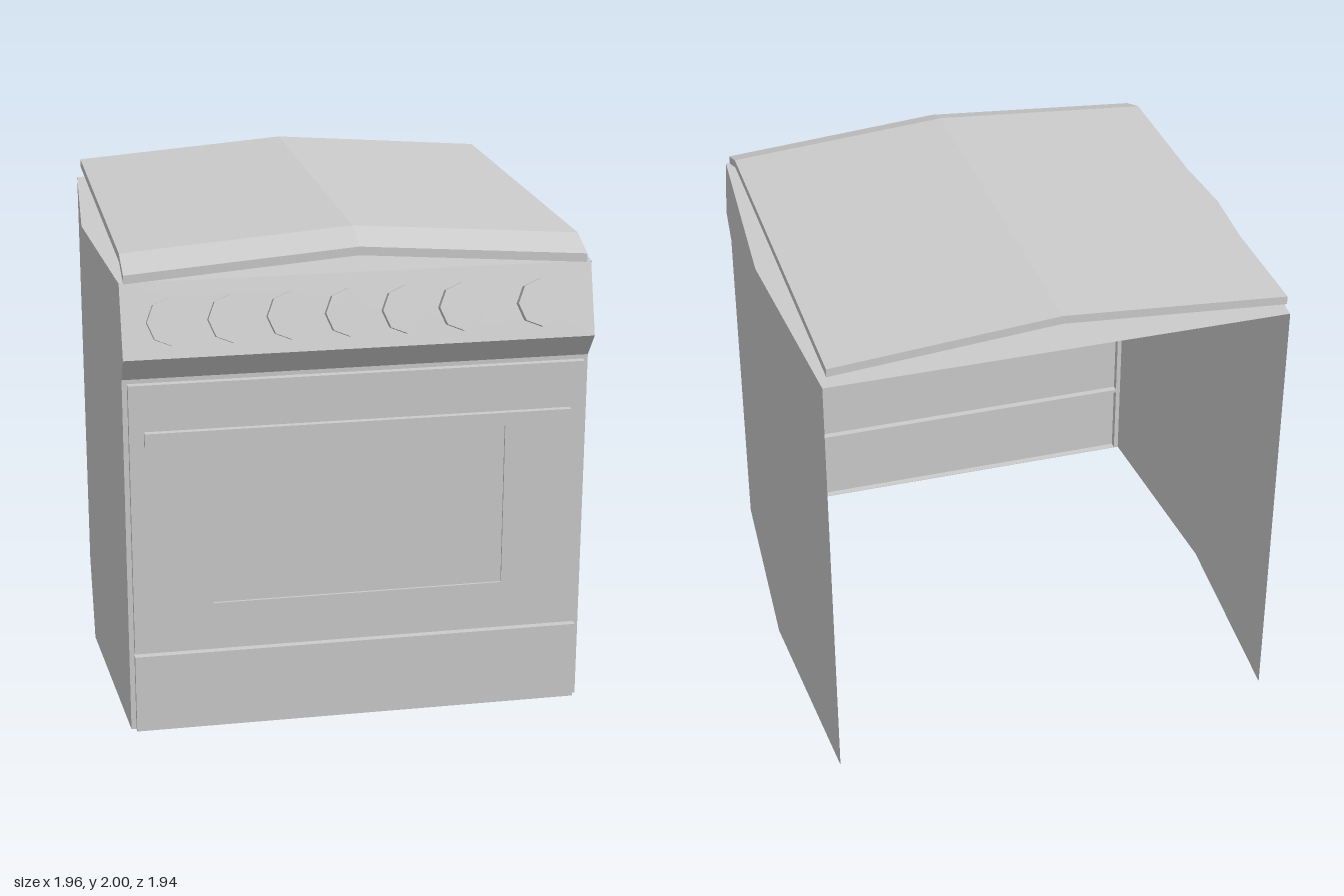
import * as THREE from 'three';

const material = new THREE.MeshStandardMaterial({ color: 0xcccccc, flatShading: true, side: THREE.DoubleSide });

function addMesh(parent, name, geometry) {
  const mesh = new THREE.Mesh(geometry, material);
  mesh.name = name;
  parent.add(mesh);
  return mesh;
}

// Faceted surface spanned between successive cross-sections of [x, y, z] points
function loft(sections) {
  const v = [];
  for (let i = 0; i < sections.length - 1; i++) {
    const a = sections[i], b = sections[i + 1];
    for (let j = 0; j < a.length - 1; j++) {
      v.push(...a[j], ...a[j + 1], ...b[j + 1], ...a[j], ...b[j + 1], ...b[j]);
    }
  }
  const g = new THREE.BufferGeometry();
  g.setAttribute('position', new THREE.Float32BufferAttribute(v, 3));
  g.computeVertexNormals();
  return g;
}

const rect = (w, y0, y1) => [[-w, y0], [w, y0], [w, y1], [-w, y1]];

function octagon(cx, cy, r) {
  return Array.from({ length: 8 }, (_, i) => {
    const a = i * Math.PI / 4;
    return [cx + r * Math.cos(a), cy + r * Math.sin(a)];
  });
}

const toVectors = pts => pts.map(([x, y]) => new THREE.Vector2(x, y));

// Flat sheet with openings
function sheet(outline, holes = []) {
  const shape = new THREE.Shape(toVectors(outline));
  for (const h of holes) shape.holes.push(new THREE.Path(toVectors(h)));
  return new THREE.ShapeGeometry(shape);
}

// Face pressed out of (or into) a sheet: rim walls plus a face, hollow behind
function pressed(parent, name, outline, z, depth, holes) {
  const group = new THREE.Group();
  group.name = name;
  const ring = d => [...outline, outline[0]].map(([x, y]) => [x, y, d]);
  addMesh(group, name + 'Rim', loft([ring(z), ring(z + depth)]));
  addMesh(group, name + 'Face', sheet(outline, holes)).position.z = z + depth;
  parent.add(group);
}

export function createModel() {
  const model = new THREE.Group();
  model.name = 'stove';

  const W = 0.922, BULGE = 0.982, MID = -0.05, BACK = -0.97, FRONT = 0.87, H = 1.85;
  const topZ = 0.865, lipY = 1.57, lipZ = 0.95, plateY = 1.47;

  // Bowed side walls, with the end cheeks of the control panel
  for (const s of [1, -1]) {
    const side = new THREE.Group();
    side.name = s > 0 ? 'leftSide' : 'rightSide';
    const column = (x, z) => [[s * x, 0, z], [s * x, H, z]];
    addMesh(side, 'sideWall', loft([column(W, BACK), column(BULGE, MID), column(W, FRONT)]));
    const cheek = addMesh(side, 'panelCheek', sheet([[-FRONT, plateY], [-lipZ, lipY], [-topZ, H]]));
    cheek.rotation.y = Math.PI / 2;
    cheek.position.x = s * W;
    model.add(side);
  }

  // Body top, six-sided to follow the bowed walls
  addMesh(model, 'bodyTop', loft([[BACK, W], [MID, BULGE], [topZ, W]]
    .map(([z, w]) => [[-w, H, z], [w, H, z]])));

  // Front plate with the door and the drawer pressed out of it
  const door = rect(0.902, 0.34, 1.453);
  const drawer = rect(0.902, 0.002, 0.325);
  const glass = rect(0.585, 0.535, 1.212);
  addMesh(model, 'frontPlate', sheet(rect(W, 0, plateY), [door, drawer])).position.z = FRONT;
  pressed(model, 'ovenDoor', door, FRONT, 0.03, [glass]);
  pressed(model, 'doorWindow', glass, FRONT + 0.03, -0.01);
  pressed(model, 'drawer', drawer, FRONT, 0.03);
  addMesh(model, 'doorHandle', new THREE.BoxGeometry(1.69, 0.055, 0.026)).position.set(0, 1.238, 0.913);

  // Underside of the control panel
  addMesh(model, 'panelUnderside', loft([
    [[-W, plateY, FRONT], [W, plateY, FRONT]],
    [[-W, lipY, lipZ], [W, lipY, lipZ]],
  ]));

  // Sloping control panel with hollow eight-sided knobs
  const panel = new THREE.Group();
  panel.name = 'controlPanel';
  panel.position.set(0, lipY, lipZ);
  panel.rotation.x = -Math.atan2(lipZ - topZ, H - lipY);
  const knobs = [-0.735, -0.502, -0.275, -0.05, 0.172, 0.395, 0.707].map(x => octagon(x, 0.14, 0.093));
  addMesh(panel, 'panelFace', sheet(rect(W, 0, Math.hypot(lipZ - topZ, H - lipY)), knobs));
  knobs.forEach(k => pressed(panel, 'knob', k, 0, 0.035));
  model.add(panel);

  // Ridged lid whose front edge bends down
  const lidSection = (y, z) => [
    [-0.905, y - 0.07, z], [0, y, z], [0.905, y - 0.07, z],
    [0.905, y - 0.104, z], [0, y - 0.034, z], [-0.905, y - 0.104, z], [-0.905, y - 0.07, z],
  ];
  const lid = new THREE.Group();
  lid.name = 'lid';
  const sections = [lidSection(2, BACK), lidSection(2, 0.73), lidSection(1.95, 0.868)];
  addMesh(lid, 'lidShell', loft(sections));
  for (const s of [sections[0], sections[2]]) {
    addMesh(lid, 'lidEdge', loft([[s[0], s[1], s[2]], [s[5], s[4], s[3]]]));
  }
  model.add(lid);

  return model;
}
